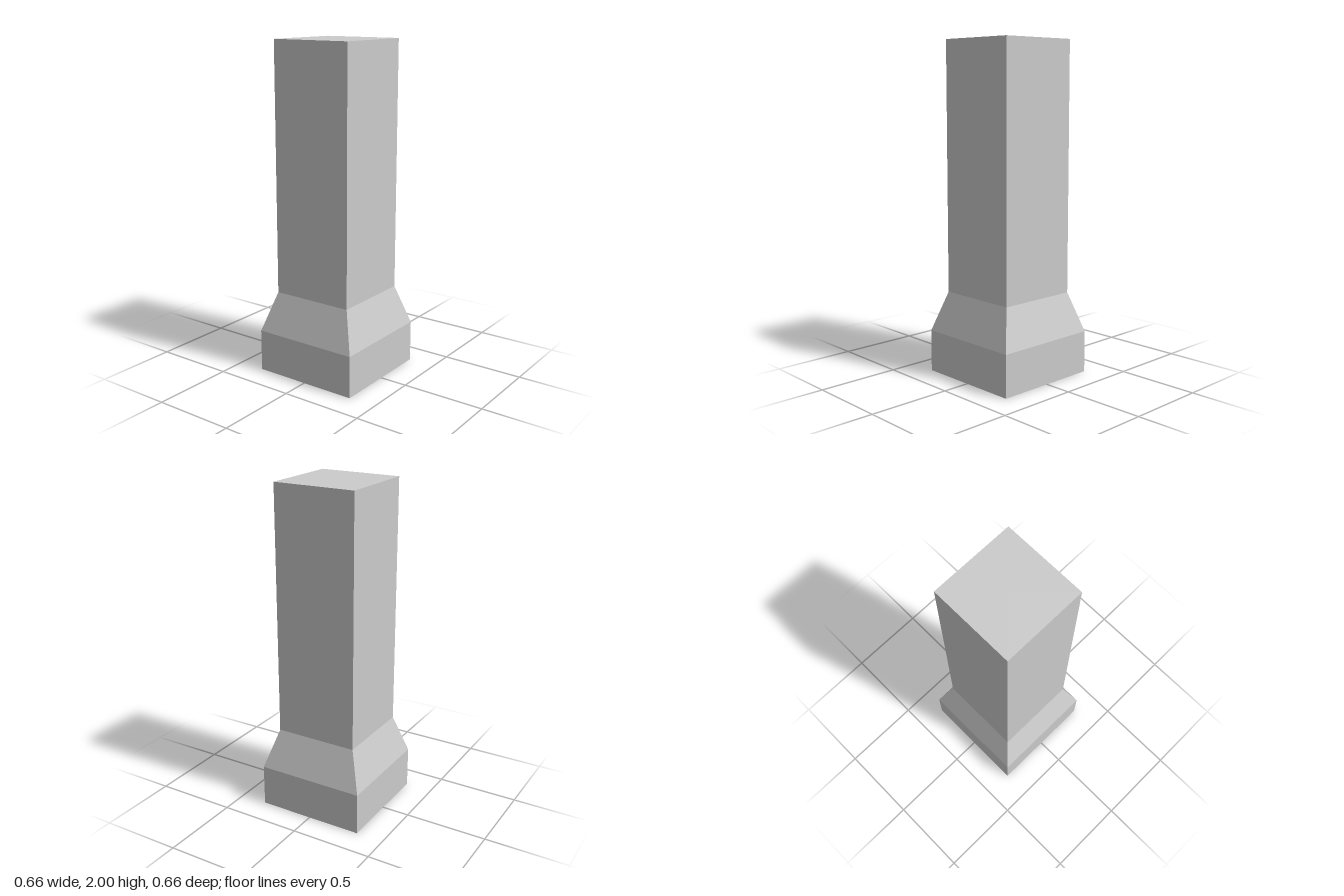
import * as THREE from 'three';

export function createModel() {
  const group = new THREE.Group();
  group.name = 'pillar';

  // Profile of [half width, height] from base centre to top centre
  const profile = [[0, 0], [0.331, 0], [0.331, 0.254], [0.254, 0.496], [0.254, 2], [0, 2]];
  const points = profile.map(([half, y]) => new THREE.Vector2(half * Math.SQRT2, y));

  // Four-sided lathe, turned so its flat sides face the axes
  const lathe = new THREE.LatheGeometry(points, 4);
  lathe.rotateY(Math.PI / 4);
  const geometry = lathe.toNonIndexed();
  geometry.computeVertexNormals();

  const material = new THREE.MeshStandardMaterial({ color: 0xcccccc, flatShading: true });
  const pillar = new THREE.Mesh(geometry, material);
  pillar.name = 'squarePillarWithFlaredBase';
  group.add(pillar);

  return group;
}
